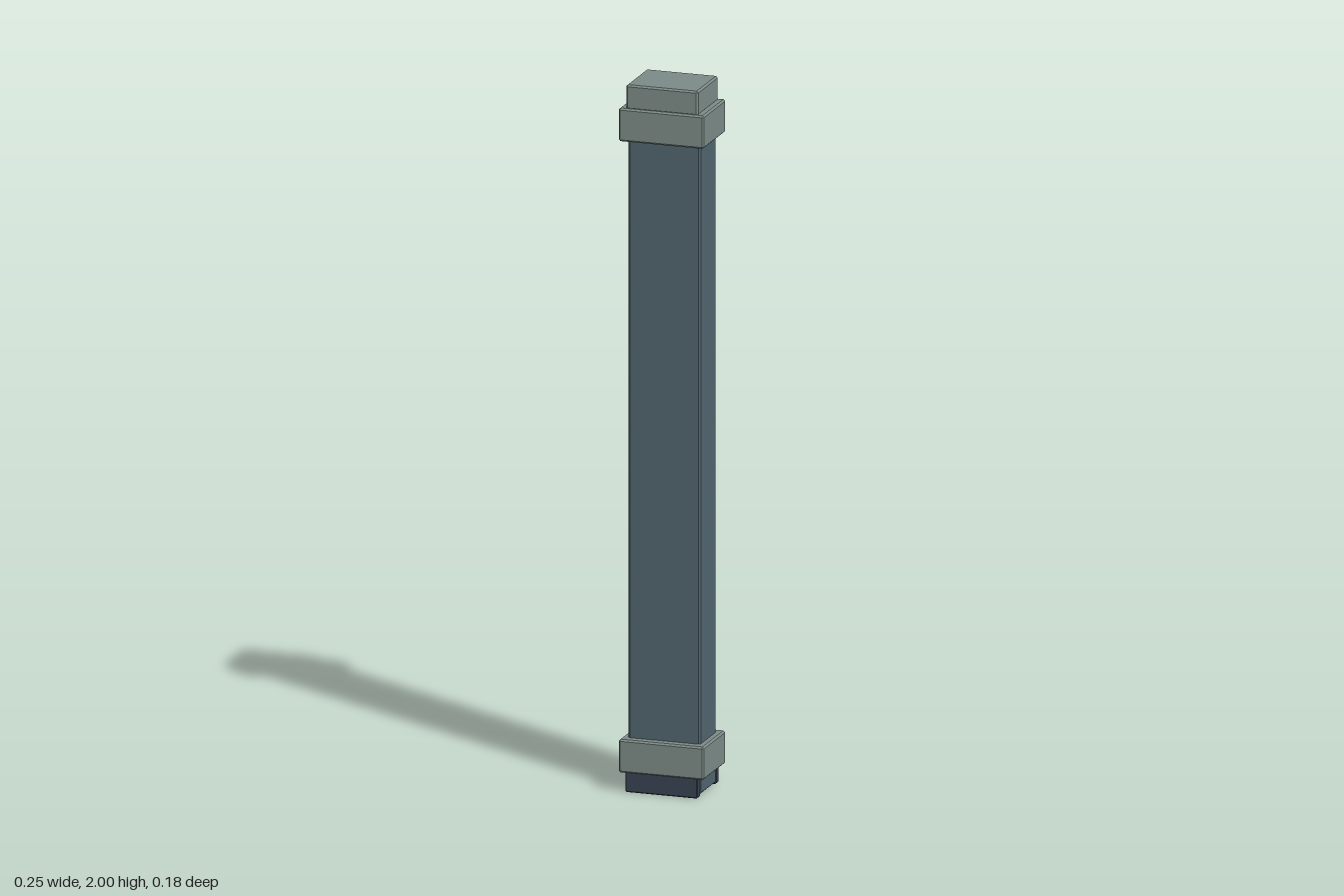
import * as THREE from 'three';
import { ConvexGeometry } from 'three/addons/geometries/ConvexGeometry.js';

// Box with every edge and corner chamfered by b, flat shaded
function chamferBox(w, h, d, b) {
  const points = [];
  for (const sx of [-1, 1]) for (const sy of [-1, 1]) for (const sz of [-1, 1]) {
    const x = w / 2, y = h / 2, z = d / 2;
    points.push(
      new THREE.Vector3(sx * x, sy * (y - b), sz * (z - b)),
      new THREE.Vector3(sx * (x - b), sy * y, sz * (z - b)),
      new THREE.Vector3(sx * (x - b), sy * (y - b), sz * z));
  }
  return new ConvexGeometry(points);
}

export function createModel() {
  const model = new THREE.Group();
  model.name = 'pillar';

  const paint = (color) => new THREE.MeshStandardMaterial({ color, flatShading: true });
  const steel = paint(0x52656f);
  const trim = paint(0x7c8b87);
  const dark = paint(0x374252);

  // Adds a chamfered block reaching from y0 to y1
  function block(name, material, w, d, y0, y1, b, z = 0) {
    const mesh = new THREE.Mesh(chamferBox(w, y1 - y0, d, b), material);
    mesh.name = name;
    mesh.position.set(0, (y0 + y1) / 2, z);
    model.add(mesh);
  }

  // Long rectangular column, running through both collars
  block('shaft', steel, 0.208, 0.13, 0.004, 1.9, 0.005);

  // Wide collars near the bottom and the top
  block('lowerCollar', trim, 0.246, 0.184, 0.054, 0.148, 0.005);
  block('upperCollar', trim, 0.246, 0.184, 1.84, 1.934, 0.005);

  // Block on top of the upper collar
  block('cap', trim, 0.208, 0.17, 1.93, 2, 0.005);

  // Dark foot plates on the front and back of the shaft
  for (const s of [-1, 1]) {
    block(s > 0 ? 'frontFootPlate' : 'backFootPlate', dark, 0.208, 0.024, 0, 0.06, 0.003, s * 0.077);
  }

  return model;
}
